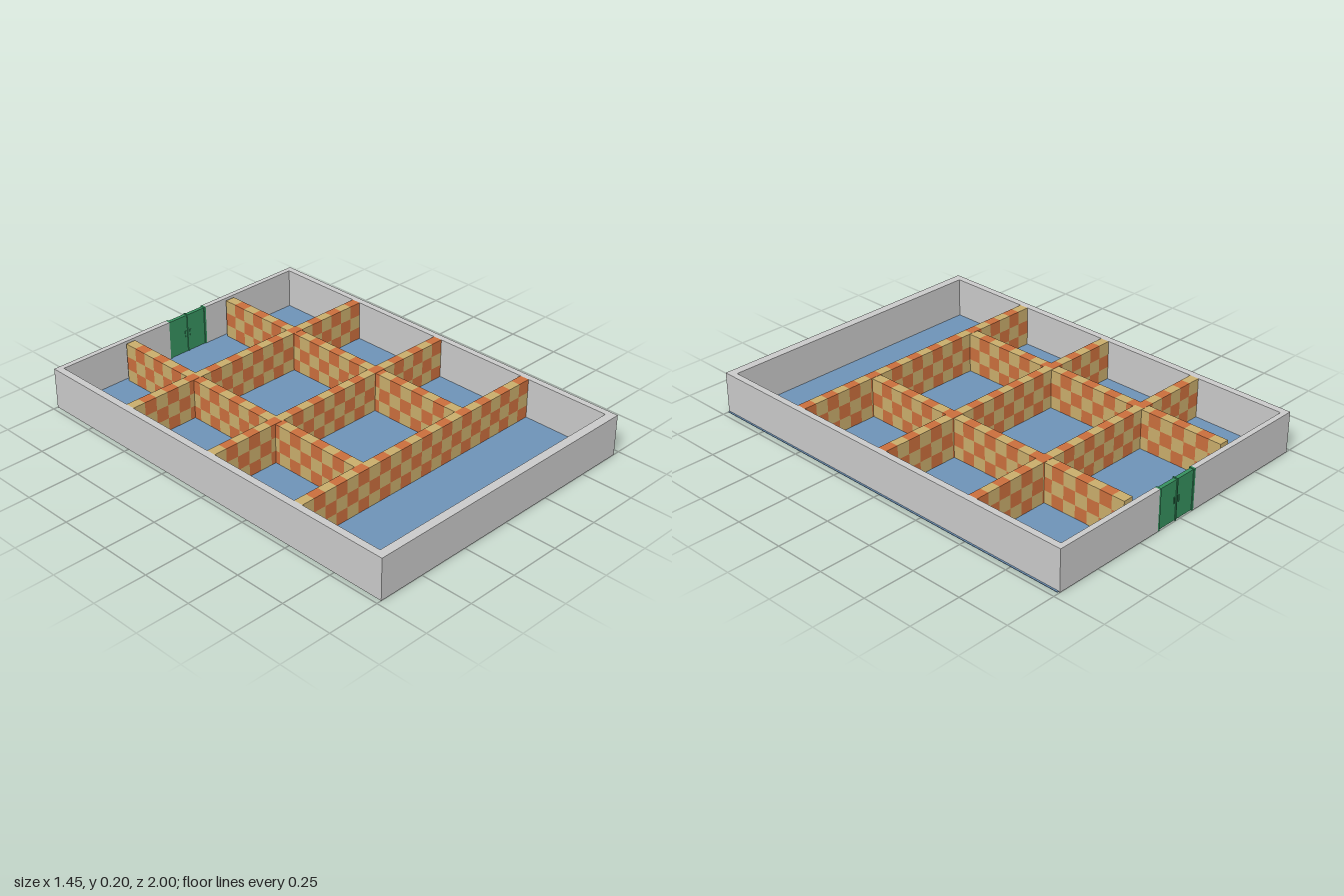
import * as THREE from 'three';

const paint = (name, color) => {
  const m = new THREE.MeshStandardMaterial({ color });
  m.name = name;
  return m;
};

// Box given by its minimum and maximum on each axis
function block(name, material, [x0, x1], [y0, y1], [z0, z1]) {
  const mesh = new THREE.Mesh(new THREE.BoxGeometry(x1 - x0, y1 - y0, z1 - z0), material);
  mesh.position.set((x0 + x1) / 2, (y0 + y1) / 2, (z0 + z1) / 2);
  mesh.name = name;
  return mesh;
}

// Box along x whose faces alternate between two materials, cell by cell
function checkerGeometry(length, height, depth, columns, rows) {
  const geo = new THREE.BoxGeometry(length, height, depth, columns, rows, 1);
  const pos = geo.attributes.position, src = geo.index.array;
  const sorted = [[], []];
  const cell = (v, size, n) => Math.min(n - 1, Math.max(0, Math.floor((v / size + 0.5) * n)));
  for (let i = 0; i < src.length; i += 6) {
    const quad = Array.from(src.slice(i, i + 6));
    const mean = (get) => quad.reduce((sum, k) => sum + get(k), 0) / 6;
    const c = cell(mean((k) => pos.getX(k)), length, columns);
    const r = cell(mean((k) => pos.getY(k)), height, rows);
    sorted[(c + rows - 1 - r) % 2].push(...quad);
  }
  geo.setIndex([...sorted[0], ...sorted[1]]);
  geo.clearGroups();
  geo.addGroup(0, sorted[0].length, 0);
  geo.addGroup(sorted[0].length, sorted[1].length, 1);
  return geo;
}

export function createModel() {
  const model = new THREE.Group();
  model.name = 'partitionedTray';
  const wall = paint('wallGrey', 0xcbcbcb);
  const blue = paint('floorBlue', 0x6e93b8);
  const tan = paint('checkerTan', 0xcaae6c);
  const orange = paint('checkerOrange', 0xcb6f3d);
  const green = paint('doorGreen', 0x36915f);
  const H = 0.197, tall = [0, H];

  // Floor plate, showing slightly past the left wall
  model.add(block('floor', blue, [-0.72, 0.725], [0.002, 0.005], [-0.995, 0.995]));

  // Outer walls, with an opening for the door at the back
  model.add(
    block('rightWall', wall, [-0.727, -0.693], tall, [-1, 1]),
    block('leftWall', wall, [0.686, 0.717], tall, [-1, 1]),
    block('frontWall', wall, [-0.693, 0.686], tall, [0.958, 1]),
    block('backWallRight', wall, [-0.693, -0.085], tall, [-1, -0.974]),
    block('backWallLeft', wall, [0.14, 0.686], tall, [-1, -0.974]),
  );

  // Crosswise partitions
  const crossZ = [-0.512, 0.008, 0.519];
  const crossGeo = checkerGeometry(1.379, H, 0.046, 22, 3);
  for (const z of crossZ) {
    const mesh = new THREE.Mesh(crossGeo, [tan, orange]);
    mesh.position.set(-0.0035, H / 2, z);
    mesh.name = 'crossPartition';
    model.add(mesh);
  }

  // Lengthwise partitions, a hair lower so the crossings stay clean
  const h = H - 0.002;
  const longGeo = checkerGeometry(1.452, h, 0.05, 23, 3);
  longGeo.rotateY(-Math.PI / 2);
  for (const x of [-0.33, 0.277]) {
    const mesh = new THREE.Mesh(longGeo, [tan, orange]);
    mesh.position.set(x, H / 2, -0.229);
    mesh.name = 'longPartition';
    model.add(mesh);
  }

  // Double door: posts, two thin leaves, rails and handles
  const door = new THREE.Group();
  door.name = 'doubleDoor';
  const mid = 0.0275;
  for (const [x, w] of [[-0.08, 0.005], [mid, 0.003], [0.135, 0.005]]) {
    door.add(block('doorPost', green, [x - w, x + w], tall, [-1, -0.974]));
  }
  for (const s of [-1, 1]) {
    const xs = [mid + s * 0.003, mid + s * 0.1025].sort((a, b) => a - b);
    door.add(block('doorLeaf', green, xs, [0.003, H - 0.003], [-0.996, -0.978]));
    const hx = mid + s * 0.014;
    door.add(block('doorHandle', green, [hx - 0.003, hx + 0.003], [0.085, 0.115], [-0.999, -0.975]));
  }
  model.add(door);
  return model;
}
